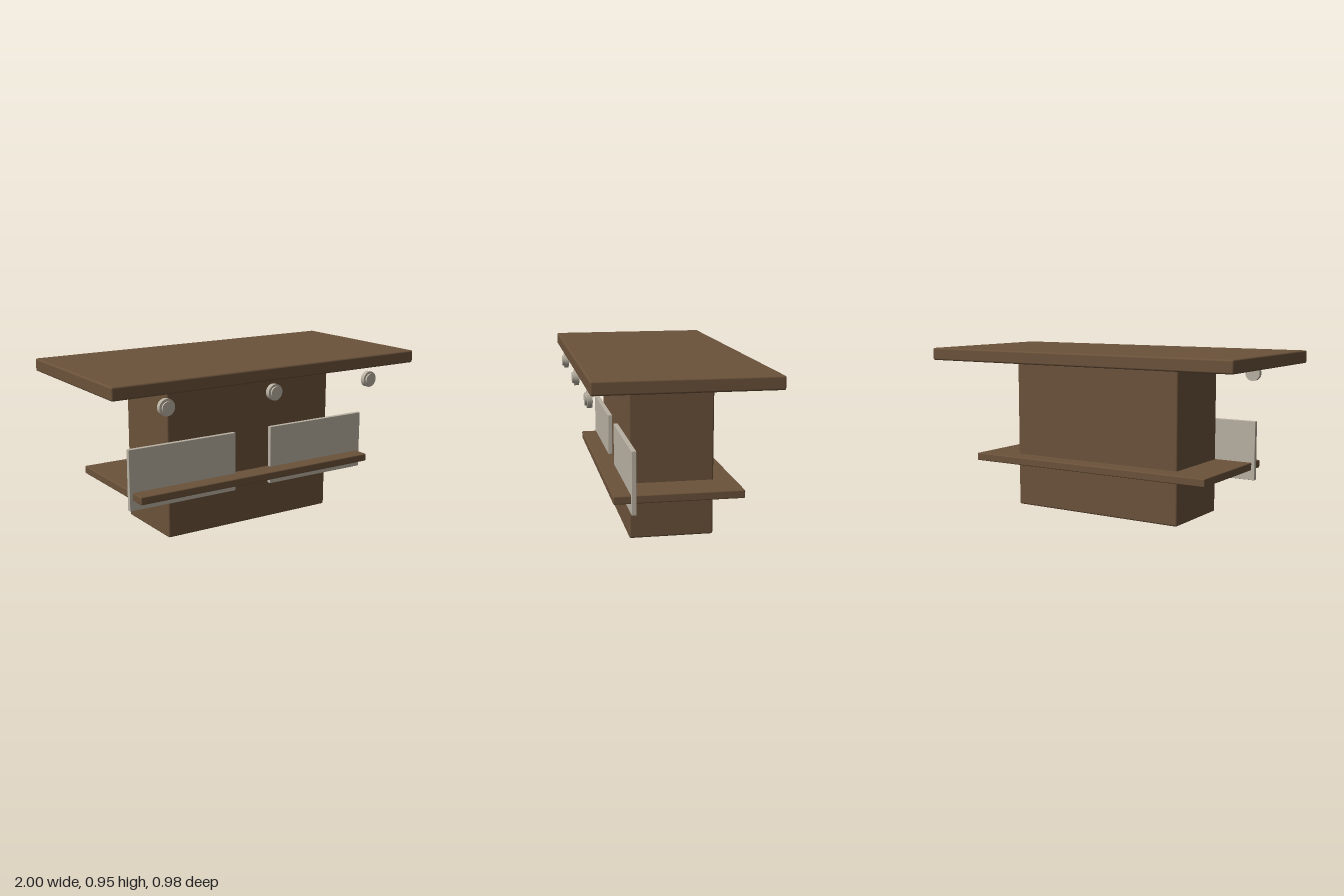
import * as THREE from 'three';
import { RoundedBoxGeometry } from 'three/addons/geometries/RoundedBoxGeometry.js';

export function createModel() {
  const group = new THREE.Group();
  const wood = new THREE.MeshStandardMaterial({ name: 'brownWood', color: 0x6b523a });
  const metal = new THREE.MeshStandardMaterial({ name: 'paleMetal', color: 0xb9b1a2 });

  // Slab spanning y0..y1 and z0..z1, centred on x, with softened edges
  function slab(name, material, x, width, y0, y1, z0, z1, radius) {
    const geometry = new RoundedBoxGeometry(width, y1 - y0, z1 - z0, 3, radius);
    const mesh = new THREE.Mesh(geometry, material);
    mesh.name = name;
    mesh.position.set(x, (y0 + y1) / 2, (z0 + z1) / 2);
    group.add(mesh);
  }

  slab('tableTop', wood, 0, 2, 0.885, 0.958, -0.488, 0.488, 0.01);
  slab('pedestal', wood, 0, 1.1, 0.003, 0.882, -0.234, 0.234, 0.01);
  slab('shelf', wood, 0, 1.56, 0.271, 0.316, -0.352, 0.352, 0.006);

  // Front panels
  for (const side of [-1, 1]) {
    slab(side > 0 ? 'leftPanel' : 'rightPanel', metal, side * 0.461, 0.678, 0.214, 0.557, 0.234, 0.259, 0.002);
  }

  // Round knobs: a wide disc with a smaller cap, facing forward
  const disc = new THREE.CylinderGeometry(0.046, 0.046, 0.027, 24).rotateX(Math.PI / 2);
  const cap = new THREE.CylinderGeometry(0.033, 0.033, 0.012, 24).rotateX(Math.PI / 2);
  for (const x of [-0.68, 0, 0.68]) {
    const knob = new THREE.Group();
    knob.name = 'knob';
    const base = new THREE.Mesh(disc, metal);
    base.name = 'knobDisc';
    base.position.z = 0.4585;
    const front = new THREE.Mesh(cap, metal);
    front.name = 'knobCap';
    front.position.z = 0.477;
    knob.add(base, front);
    knob.position.set(x, 0.814, 0);
    group.add(knob);
  }
  return group;
}
